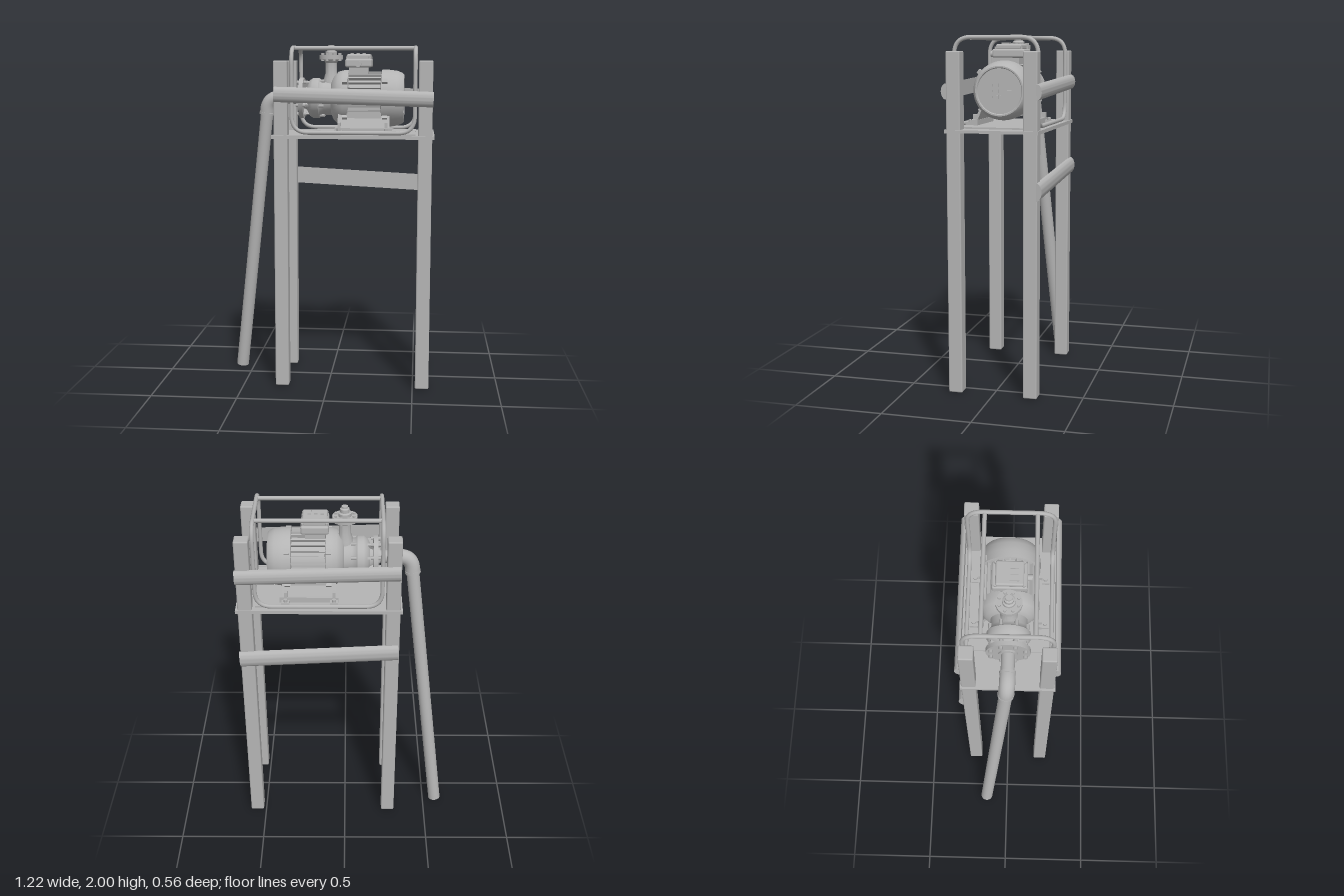
import * as THREE from 'three';
import { toCreasedNormals } from 'three/addons/utils/BufferGeometryUtils.js';
import { RoundedBoxGeometry } from 'three/addons/geometries/RoundedBoxGeometry.js';

export function createModel() {
  const root = new THREE.Group();
  root.name = 'pumpStand';
  const grey = new THREE.MeshStandardMaterial({ color: 0xb4b4b4 });
  grey.name = 'grey';

  const add = (name, geo, x = 0, y = 0, z = 0, parent = root) => {
    const m = new THREE.Mesh(geo, grey);
    m.name = name;
    m.position.set(x, y, z);
    parent.add(m);
    return m;
  };
  const box = (w, h, d) => new THREE.BoxGeometry(w, h, d);
  const cyl = (r, h, n = 24) => new THREE.CylinderGeometry(r, r, h, n);
  const lathe = (pts, n = 40) =>
    toCreasedNormals(new THREE.LatheGeometry(pts.map(p => new THREE.Vector2(...p)), n), 0.6);
  const v = (x, y, z) => new THREE.Vector3(x, y, z);

  // Polyline with rounded corners; closed when loop is true
  const roundedPath = (pts, r, loop) => {
    const path = new THREE.CurvePath();
    const n = pts.length;
    let prev = loop ? null : pts[0];
    let first = null;
    for (let i = loop ? 0 : 1; i < (loop ? n : n - 1); i++) {
      const p = pts[i];
      const a = p.clone().add(pts[(i + n - 1) % n].clone().sub(p).setLength(r));
      const b = p.clone().add(pts[(i + 1) % n].clone().sub(p).setLength(r));
      if (prev) path.add(new THREE.LineCurve3(prev, a));
      else first = a;
      path.add(new THREE.QuadraticBezierCurve3(a, p, b));
      prev = b;
    }
    path.add(new THREE.LineCurve3(prev, loop ? first : pts[n - 1]));
    return path;
  };

  // Stand: four posts and a platform
  for (const x of [-0.27, 0.555])
    for (const z of [-0.215, 0.215])
      add('post', new RoundedBoxGeometry(0.08, 1.91, 0.08, 2, 0.008), x, 0.955, z);
  add('platform', box(0.93, 0.016, 0.51), 0.143, 1.478, 0);
  add('platformRim', box(0.93, 0.02, 0.014), 0.143, 1.478, 0.255);
  add('platformRim', box(0.93, 0.02, 0.014), 0.143, 1.478, -0.255);
  add('basePlate', box(0.6, 0.01, 0.44), 0.2, 1.49, 0);

  // Half-round rails, slightly sloping towards +x
  const rail = (yLeft, yRight, h, side) => {
    const s = new THREE.Shape();
    s.absellipse(0, 0, 0.03, h / 2, -Math.PI / 2, Math.PI / 2);
    s.closePath();
    const len = 0.905;
    const g = new THREE.ExtrudeGeometry(s, { depth: len, bevelEnabled: false, curveSegments: 10 });
    g.translate(0, 0, -len / 2).rotateY(-Math.PI / 2);
    if (side < 0) g.rotateY(Math.PI);
    const m = add('rail', toCreasedNormals(g, 0.6), 0.147, (yLeft + yRight) / 2, side * 0.25);
    m.rotation.z = Math.atan2(yRight - yLeft, len);
  };
  rail(1.72, 1.693, 0.088, 1);
  rail(1.72, 1.693, 0.088, -1);
  rail(1.208, 1.16, 0.1, -1);

  // Tubular guard frame: one bent loop plus two top bars
  const x0 = -0.207, x1 = 0.495, yb = 1.502, yt = 1.983, zs = 0.236;
  const loop = roundedPath([
    v(x0, yb, zs), v(x1, yb, zs), v(x1, yt, zs), v(x1, yt, -zs),
    v(x1, yb, -zs), v(x0, yb, -zs), v(x0, yt, -zs), v(x0, yt, zs),
  ], 0.095, true);
  add('guardFrame', new THREE.TubeGeometry(loop, 320, 0.012, 10, true));
  for (const z of [-0.14, 0.14])
    add('guardTopBar', cyl(0.012, x1 - x0, 12).rotateZ(Math.PI / 2), (x0 + x1) / 2, 1.98, z);

  // Motor, built along x about its shaft
  const pump = new THREE.Group();
  pump.name = 'motorPump';
  pump.position.set(0, 1.69, 0);
  root.add(pump);
  const turned = (name, pts) => add(name, lathe(pts).rotateZ(-Math.PI / 2), 0, 0, 0, pump);
  turned('motorBody', [[0, 0.07], [0.138, 0.07], [0.138, 0.33], [0, 0.33]]);
  turned('frontBell', [[0, 0.0], [0.09, 0.0], [0.125, 0.015], [0.155, 0.045], [0.163, 0.075],
    [0.163, 0.105], [0.15, 0.11], [0, 0.11]]);
  turned('fanCover', [[0, 0.295], [0.15, 0.295], [0.166, 0.3], [0.166, 0.345], [0.16, 0.39],
    [0.148, 0.42], [0.138, 0.43], [0.13, 0.43], [0.126, 0.424], [0, 0.424]]);

  // Cooling fins around the body
  for (let i = 0; i < 28; i++) {
    const a = (i / 28) * Math.PI * 2;
    const f = add('coolingFin', box(0.2, 0.024, 0.007), 0.2, Math.cos(a) * 0.145, Math.sin(a) * 0.145, pump);
    f.rotation.x = a;
  }
  // Fan cover vents and lugs
  for (const s of [-1, 1])
    for (let i = -1; i <= 1; i++) {
      add('ventBar', box(0.008, 0.012, 0.035), 0.426, i * 0.032, s * 0.055, pump);
      add('ventRib', box(0.008, 0.02, 0.012), 0.426, i * 0.032, s * 0.012, pump);
    }
  for (const x of [0.09, 0.32])
    for (const a of [0.95, 2.25, -0.95, -2.25]) {
      const l = add('lug', box(0.03, 0.03, 0.025), x, Math.cos(a) * 0.17, Math.sin(a) * 0.17, pump);
      l.rotation.x = a;
    }

  // Splayed feet, side panels and bolt tabs
  for (const s of [-1, 1]) {
    add('sidePanel', box(0.2, 0.075, 0.03), 0.2, -0.085, s * 0.125, pump);
    const leg = add('footWeb', box(0.3, 0.13, 0.014), 0.2, -0.135, s * 0.143, pump);
    leg.rotation.x = -s * 0.4;
    add('footBar', box(0.33, 0.03, 0.035), 0.2, -0.18, s * 0.162, pump);
    for (const x of [0.06, 0.33]) {
      add('footTab', box(0.045, 0.016, 0.06), x, -0.187, s * 0.19, pump);
      add('footBolt', cyl(0.012, 0.02, 6), x, -0.175, s * 0.198, pump);
      add('footRib', box(0.018, 0.05, 0.03), x, -0.16, s * 0.165, pump);
    }
  }

  // Terminal box on top of the motor
  add('terminalNeck', box(0.11, 0.08, 0.12), 0.165, 0.155, 0, pump);
  add('terminalBox', new RoundedBoxGeometry(0.155, 0.05, 0.19, 2, 0.012), 0.165, 0.205, 0, pump);
  add('terminalLid', new RoundedBoxGeometry(0.14, 0.032, 0.15, 2, 0.01), 0.165, 0.24, 0, pump);
  for (const [x, d] of [[0.125, 0.05], [0.16, 0.04], [0.195, 0.045]])
    add('lidBlock', box(0.018, 0.012, d), x, 0.258, 0.025, pump);
  for (const x of [0.1, 0.23])
    for (const z of [-0.075, 0.075]) add('lidScrew', cyl(0.008, 0.02, 8), x, 0.232, z, pump);
  add('cableGland', cyl(0.018, 0.04, 12).rotateX(Math.PI / 2), 0.165, 0.2, 0.1, pump);

  // Pump casing, suction flange and gussets
  turned('pumpCasing', [[0, -0.16], [0.065, -0.16], [0.075, -0.14], [0.105, -0.125], [0.118, -0.105],
    [0.118, -0.07], [0.108, -0.06], [0.1, -0.04], [0.1, 0.02], [0, 0.02]]);
  turned('suctionFlange', [[0, -0.195], [0.05, -0.195], [0.05, -0.185], [0.12, -0.185], [0.12, -0.16], [0, -0.16]]);
  for (let i = 0; i < 8; i++) {
    const a = ((i + 0.5) / 8) * Math.PI * 2;
    const y = Math.cos(a), z = Math.sin(a);
    add('flangeBolt', cyl(0.011, 0.055, 6).rotateZ(Math.PI / 2), -0.172, y * 0.1, z * 0.1, pump);
    const g = add('gusset', box(0.045, 0.05, 0.012), -0.135, y * 0.078, z * 0.078, pump);
    g.rotation.x = a;
    add('casingBolt', cyl(0.01, 0.03, 6).rotateZ(Math.PI / 2), -0.05, y * 0.108, z * 0.108, pump);
  }

  // Discharge neck, flange and nipple
  add('discharge', lathe([[0, 0.04], [0.052, 0.06], [0.045, 0.11], [0.033, 0.15], [0.033, 0.205], [0.045, 0.222],
    [0.07, 0.226], [0.07, 0.252], [0.035, 0.252], [0.035, 0.27], [0.026, 0.275], [0.026, 0.295],
    [0.018, 0.3], [0.018, 0.31], [0, 0.31]], 28), 0, 0, 0, pump);
  for (let i = 0; i < 8; i++) {
    const a = ((i + 0.5) / 8) * Math.PI * 2;
    add('dischargeBolt', cyl(0.009, 0.046, 6), Math.cos(a) * 0.054, 0.239, Math.sin(a) * 0.054, pump);
  }

  // Suction pipe: short stub, elbow and long sloping leg
  const top = v(-0.374, 1.69, 0), foot = v(-0.576, 0.004, -0.135);
  const dir = foot.clone().sub(top).normalize();
  const at = d => top.clone().addScaledVector(dir, d);
  const pipe = (name, a, b, r) => {
    const m = add(name, cyl(r, a.distanceTo(b), 24), ...a.clone().add(b).multiplyScalar(0.5).toArray());
    m.quaternion.setFromUnitVectors(v(0, 1, 0), b.clone().sub(a).normalize());
  };
  pipe('suctionStub', v(-0.19, 1.69, 0), v(-0.32, 1.69, 0), 0.037);
  pipe('suctionLeg', at(0.08), foot, 0.037);
  const elbow = roundedPath([v(-0.295, 1.69, 0), top, at(0.095)], 0.07, false);
  add('elbow', new THREE.TubeGeometry(elbow, 40, 0.043, 20));
  pipe('elbowCollar', v(-0.29, 1.69, 0), v(-0.305, 1.69, 0), 0.045);
  pipe('elbowCollar', at(0.085), at(0.1), 0.045);

  return root;
}
